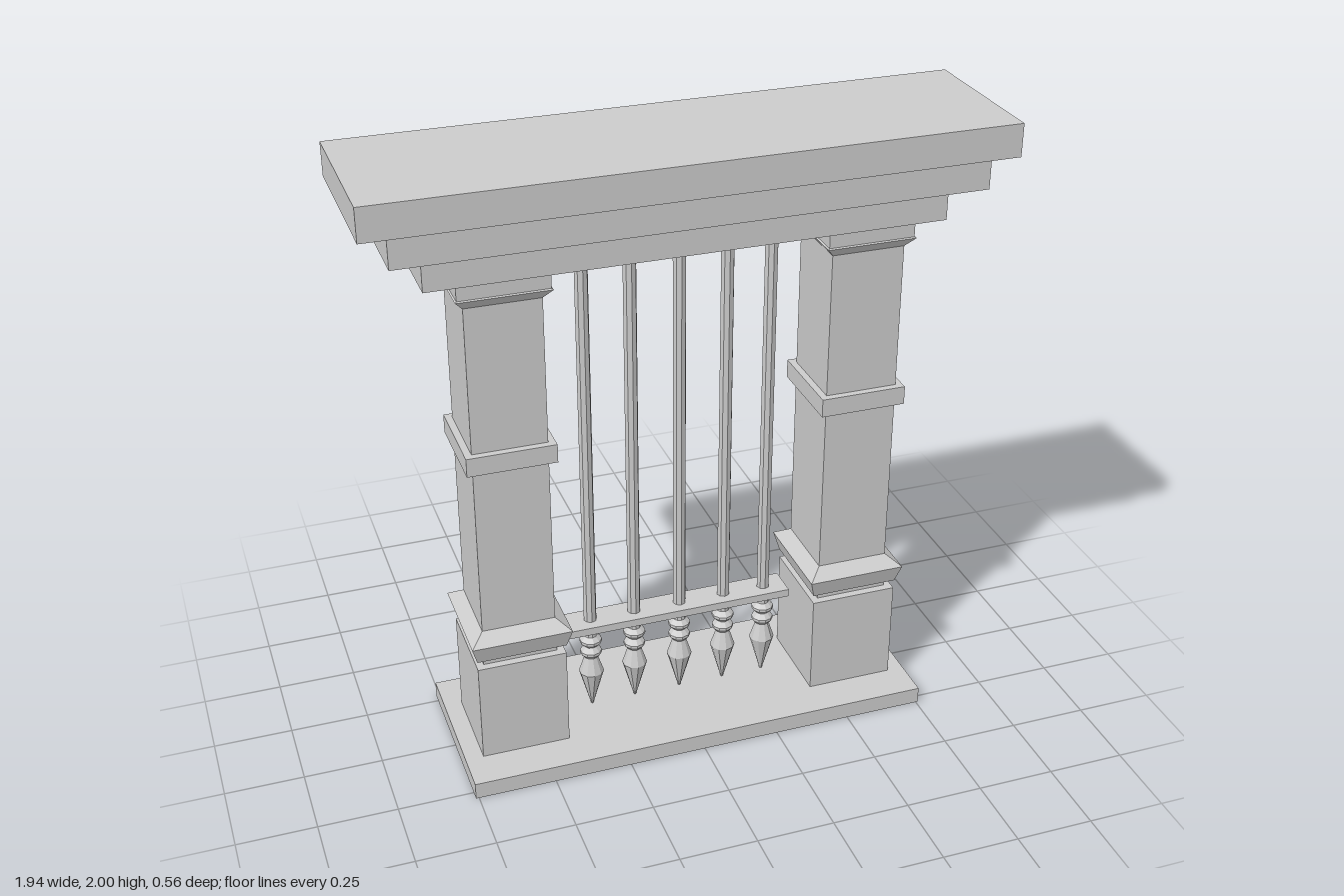
import * as THREE from 'three';

const material = new THREE.MeshStandardMaterial({ color: 0xcccccc, flatShading: true });

function add(parent, name, geometry, x = 0, y = 0, z = 0) {
  const mesh = new THREE.Mesh(geometry, material);
  mesh.name = name;
  mesh.position.set(x, y, z);
  parent.add(mesh);
  return mesh;
}

// Box given by its extents on each axis
function slab(parent, name, [x0, x1], [y0, y1], [z0, z1]) {
  return add(parent, name, new THREE.BoxGeometry(x1 - x0, y1 - y0, z1 - z0),
    (x0 + x1) / 2, (y0 + y1) / 2, (z0 + z1) / 2);
}

// Square section swept up a [halfWidth, height] profile, closed at both ends
function squareTurned(profile) {
  const closed = [[0, profile[0][1]], ...profile, [0, profile[profile.length - 1][1]]];
  const points = closed.map(([h, y]) => new THREE.Vector2(h * Math.SQRT2, y));
  return new THREE.LatheGeometry(points, 4, Math.PI / 4);
}

function createPillar(name, x) {
  const pillar = new THREE.Group();
  pillar.name = name;
  pillar.position.set(x, 0, 0.004);
  pillar.scale.z = 1.05;
  const parts = {
    pedestal: [[0.142, 0.055], [0.142, 0.39]],
    neck: [[0.118, 0.39], [0.118, 0.42]],
    baseMoulding: [[0.143, 0.42], [0.16, 0.48], [0.116, 0.513]],
    shaft: [[0.116, 0.51], [0.116, 1.61]],
    band: [[0.138, 1.077], [0.138, 1.137]],
    capital: [[0.116, 1.605], [0.142, 1.637], [0.137, 1.64], [0.137, 1.697]],
  };
  for (const [part, profile] of Object.entries(parts)) add(pillar, part, squareTurned(profile));
  return pillar;
}

export function createModel() {
  const model = new THREE.Group();
  model.name = 'colonnadeBay';

  // Base and stepped cornice
  slab(model, 'base', [-0.76, 0.757], [0, 0.055], [-0.277, 0.28]);
  slab(model, 'corniceLower', [-0.795, 0.782], [1.695, 1.795], [-0.165, 0.18]);
  slab(model, 'corniceMiddle', [-0.89, 0.89], [1.795, 1.897], [-0.207, 0.227]);
  slab(model, 'corniceTop', [-0.973, 0.967], [1.897, 2], [-0.255, 0.26]);

  // Pillars
  model.add(createPillar('rightPillar', -0.56), createPillar('leftPillar', 0.56));

  // Grille: rail, upright bars and turned drops
  slab(model, 'rail', [-0.385, 0.372], [0.365, 0.391], [-0.052, 0.052]);
  const dropProfile = [
    [0, 0.056], [0.004, 0.058], [0.041, 0.19], [0.022, 0.247], [0.035, 0.262], [0.035, 0.272],
    [0.02, 0.289], [0.036, 0.305], [0.036, 0.315], [0.021, 0.33], [0.021, 0.366],
  ].map(([r, y]) => new THREE.Vector2(r, y));
  const dropGeometry = new THREE.LatheGeometry(dropProfile, 10);
  const barGeometry = new THREE.CylinderGeometry(0.021, 0.021, 1.31, 8);
  [-0.295, -0.147, 0.008, 0.16, 0.3].forEach((x, i) => {
    add(model, `bar${i + 1}`, barGeometry, x, 1.045, 0);
    add(model, `drop${i + 1}`, dropGeometry, x);
  });

  return model;
}
